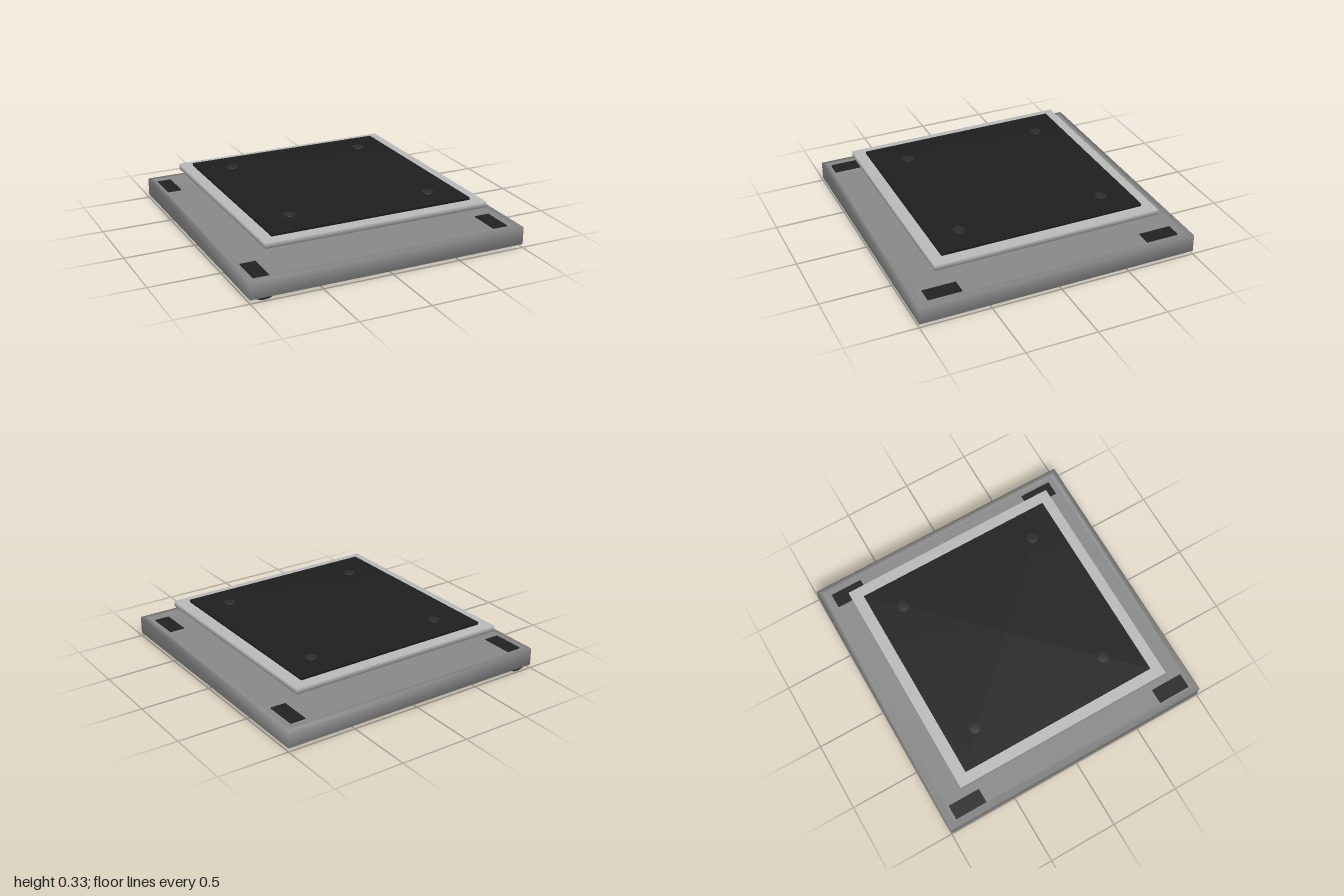
import * as THREE from 'three';

const paint = (color) => new THREE.MeshStandardMaterial({ color });
const baseGrey = paint(0x888888);
const plateGrey = paint(0xb8b8b8);
const columnGrey = paint(0xcccccc);
const matBlack = paint(0x1e1e1e);
const rubber = paint(0x222222);
const studGrey = paint(0x2c2c2c);

function add(group, name, geometry, material, x = 0, y = 0, z = 0) {
  const mesh = new THREE.Mesh(geometry, material);
  mesh.name = name;
  mesh.position.set(x, y, z);
  group.add(mesh);
  return mesh;
}

// Square solid with soft shading: a four-sided lathe, profile as [half width, height]
function squareLathe(profile) {
  const points = profile.map(([half, y]) => new THREE.Vector2(half * Math.SQRT2, y));
  return new THREE.LatheGeometry(points, 4, Math.PI / 4);
}

// Plain square slab between two heights
const slab = (half, y0, y1) => squareLathe([[0, y0], [half, y0], [half, y1], [0, y1]]);

export function createModel() {
  const model = new THREE.Group();
  model.name = 'squarePlatform';

  // Base slab with a shallow recess above and below, leaving a raised rim
  add(model, 'base', squareLathe([
    [0, 0.035], [0.95, 0.035], [0.96, 0.025], [1, 0.025],
    [1, 0.15], [0.96, 0.15], [0.95, 0.135], [0, 0.135],
  ]), baseGrey);

  // Feet: a rounded runner below the base and a pad showing in the recess above
  // [name, runner x, runner z, pad x, pad z]
  const feet = [
    ['backRightFoot', -0.895, -0.845, -0.902, -0.815],
    ['backLeftFoot', 0.88, -0.82, 0.873, -0.797],
    ['frontRightFoot', -0.895, 0.84, -0.895, 0.825],
    ['frontLeftFoot', 0.88, 0.795, 0.873, 0.792],
  ];
  const runner = new THREE.CylinderGeometry(0.064, 0.064, 0.28, 32).rotateX(Math.PI / 2).scale(1, 0.5, 1);
  const pad = new THREE.BoxGeometry(0.108, 0.04, 0.235);
  for (const [name, x, z, padX, padZ] of feet) {
    const foot = new THREE.Group();
    foot.name = name;
    add(foot, 'runner', runner, rubber, x, 0.032, z);
    add(foot, 'pad', pad, rubber, padX, 0.122, padZ);
    model.add(foot);
  }

  // Round column carrying the upper plate
  const columnProfile = [[0, 0.13], [0.335, 0.13], [0.335, 0.265], [0, 0.265]]
    .map(([r, y]) => new THREE.Vector2(r, y));
  add(model, 'column', new THREE.LatheGeometry(columnProfile, 64), columnGrey, 0.005, 0, -0.02);

  // Upper plate
  add(model, 'upperPlate', slab(0.814, 0.26, 0.3), plateGrey);

  // Dark mat on the plate
  add(model, 'mat', slab(0.733, 0.298, 0.318), matBlack, -0.004, 0, 0);

  // Low round studs on the mat
  const studs = [[-0.505, -0.53], [0.52, -0.53], [-0.505, 0.49], [0.52, 0.525]];
  const studProfile = [[0.042, 0.31], [0.042, 0.322], [0.038, 0.325], [0, 0.326]]
    .map(([r, y]) => new THREE.Vector2(r, y));
  const stud = new THREE.LatheGeometry(studProfile, 32);
  studs.forEach(([x, z], i) => add(model, 'stud' + (i + 1), stud, studGrey, x, 0, z));

  return model;
}
